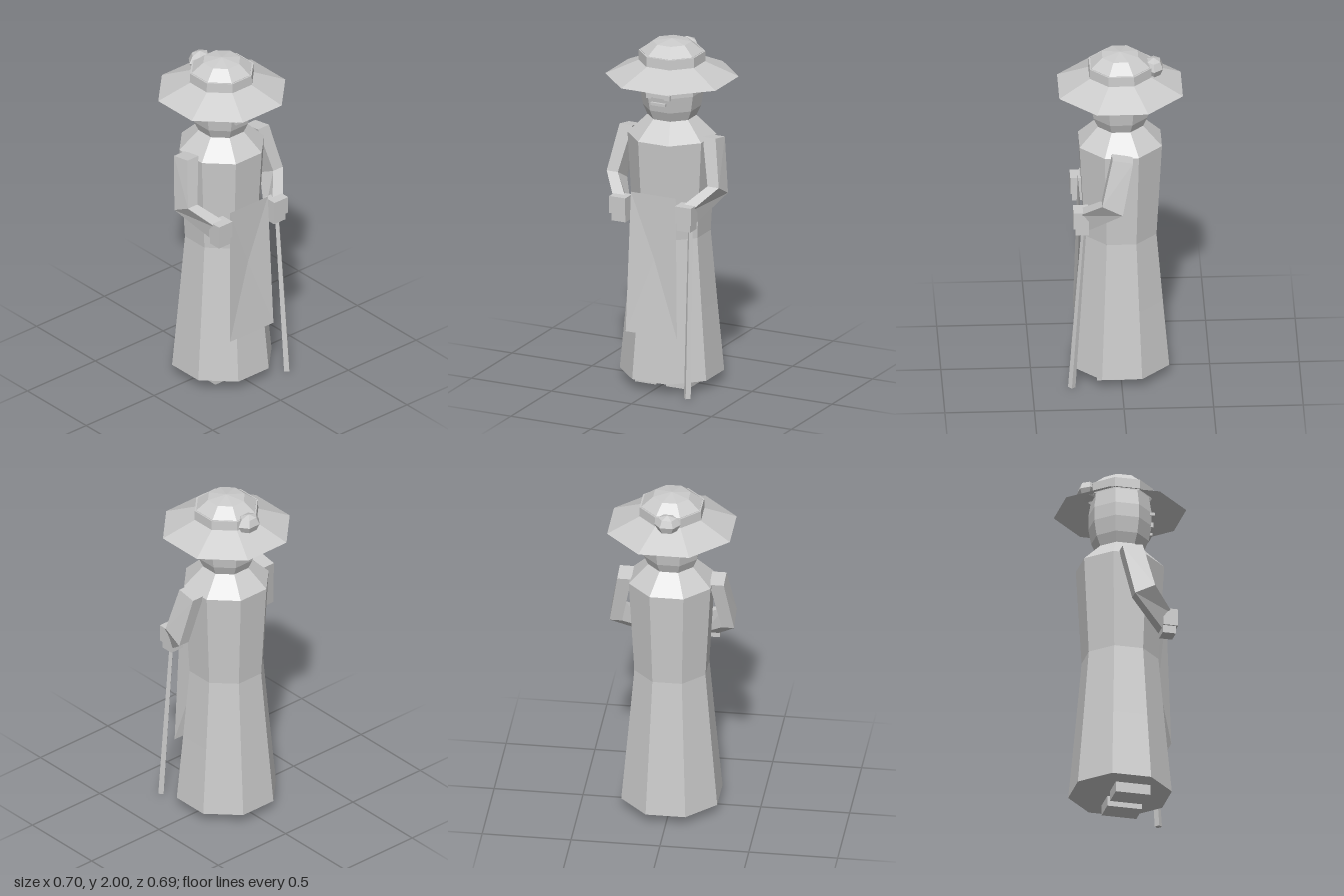
import * as THREE from 'three';

const mat = new THREE.MeshStandardMaterial({ color: 0xcccccc, flatShading: true, side: THREE.DoubleSide });

function add(parent, name, geometry, x = 0, y = 0, z = 0) {
  const mesh = new THREE.Mesh(geometry, mat);
  mesh.name = name;
  mesh.position.set(x, y, z);
  parent.add(mesh);
  return mesh;
}

const box = (w, h, d) => new THREE.BoxGeometry(w, h, d);

// Eight-sided turned shape; profile is [flat-to-centre distance, height], bottom to top
function octagon(profile) {
  const k = 1 / Math.cos(Math.PI / 8);
  const points = profile.map(([r, y]) => new THREE.Vector2(r * k, y));
  return new THREE.LatheGeometry(points, 8, Math.PI / 8);
}

// Skin over four-cornered rings, with both ends closed
function loft(rings) {
  const index = [];
  for (let i = 0; i < rings.length - 1; i++) {
    for (let j = 0; j < 4; j++) {
      const a = i * 4 + j, b = i * 4 + (j + 1) % 4;
      index.push(a, b, b + 4, a, b + 4, a + 4);
    }
  }
  const e = (rings.length - 1) * 4;
  index.push(0, 2, 1, 0, 3, 2, e, e + 1, e + 2, e, e + 2, e + 3);
  const g = new THREE.BufferGeometry();
  g.setAttribute('position', new THREE.Float32BufferAttribute(rings.flat(2), 3));
  g.setIndex(index);
  g.computeVertexNormals();
  return g;
}

// Sleeve ring: inner and outer x, then front and back edges as [y, z]
const ring = (xi, xo, [yf, zf], [yb, zb]) => [[xi, yf, zf], [xi, yb, zb], [xo, yb, zb], [xo, yf, zf]];

export function createModel() {
  const model = new THREE.Group();
  model.name = 'womanWithCane';

  // Dress with sloping shoulders
  add(model, 'dress', octagon([[0, 0.06], [0.27, 0.06], [0.235, 0.46], [0.2, 0.88], [0.23, 1.445], [0.12, 1.56], [0, 1.56]]));

  // Apron panel with a folded-in triangle at the top
  const apron = new THREE.BufferGeometry();
  apron.setAttribute('position', new THREE.Float32BufferAttribute([
    -0.14, 1.145, 0.23, 0.14, 1.145, 0.23, 0, 0.77, 0.222, -0.16, 0.33, 0.255, 0.16, 0.33, 0.255,
  ], 3));
  apron.setIndex([0, 2, 1, 0, 3, 2, 2, 4, 1, 3, 4, 2]);
  apron.computeVertexNormals();
  add(model, 'apron', apron);

  // Head and face
  add(model, 'head', octagon([[0, 1.545], [0.125, 1.55], [0.15, 1.61], [0.165, 1.7], [0.165, 1.78], [0.15, 1.88]]));
  const face = new THREE.Group();
  face.name = 'face';
  model.add(face);
  add(face, 'mouth', box(0.09, 0.016, 0.03), 0, 1.66, 0.16);
  add(face, 'noseBridge', box(0.08, 0.022, 0.03), 0, 1.71, 0.165);
  for (const s of [-1, 1]) {
    add(face, 'brow', box(0.05, 0.018, 0.03), s * 0.057, 1.768, 0.165);
    add(face, 'eye', box(0.035, 0.03, 0.03), s * 0.057, 1.705, 0.16);
  }

  // Hat: brim, crown, ribbon and bow at the back
  const hat = new THREE.Group();
  hat.name = 'hat';
  model.add(hat);
  add(hat, 'brim', octagon([[0.345, 1.785], [0.165, 1.872]]));
  add(hat, 'crown', octagon([[0.165, 1.865], [0.163, 1.93], [0.1, 1.984], [0, 2]]));
  add(hat, 'ribbon', octagon([[0.164, 1.872], [0.174, 1.872], [0.172, 1.928], [0.16, 1.928]]));
  const bow = add(hat, 'bow', new THREE.SphereGeometry(1, 6, 4), 0, 1.9, -0.188);
  bow.scale.set(0.075, 0.057, 0.058);

  // Arms, hands and shoes, mirrored
  for (const s of [-1, 1]) {
    const side = new THREE.Group();
    side.name = s > 0 ? 'leftLimbs' : 'rightLimbs';
    side.scale.x = s;
    model.add(side);
    add(side, 'sleeve', loft([
      ring(0.22, 0.3, [1.47, 0.055], [1.45, -0.06]),
      ring(0.28, 0.35, [1.205, 0.115], [1.145, 0.0]),
      ring(0.16, 0.24, [1.09, 0.245], [1.0, 0.18]),
    ]));
    add(side, 'cuff', box(0.1, 0.1, 0.085), 0.205, 1.065, 0.228);
    add(side, 'hand', box(0.085, 0.06, 0.075), 0.203, 1.0, 0.222);
    add(side, 'shoe', box(0.132, 0.07, 0.2), 0.098, 0.035, 0.035);
  }

  // Cane in the left hand
  const top = new THREE.Vector3(0.222, 1.02, 0.21);
  const foot = new THREE.Vector3(0.238, 0.002, 0.28);
  const axis = top.clone().sub(foot);
  const cane = add(model, 'cane', new THREE.CylinderGeometry(0.014, 0.021, axis.length(), 4));
  cane.position.copy(top).add(foot).multiplyScalar(0.5);
  cane.quaternion.setFromUnitVectors(new THREE.Vector3(0, 1, 0), axis.normalize());

  return model;
}
